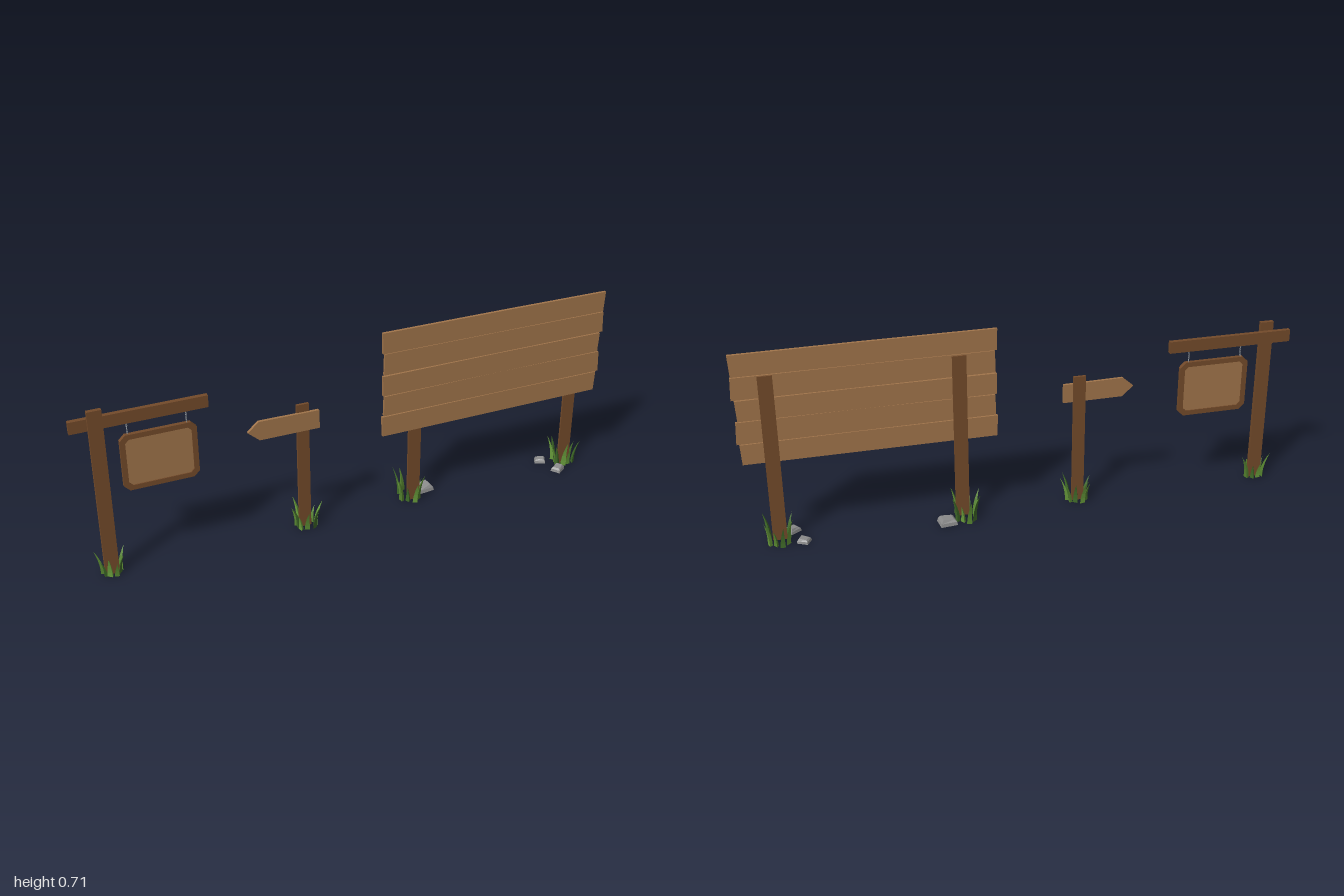
import * as THREE from 'three';

const mat = color => new THREE.MeshStandardMaterial({ color, flatShading: true });
const plankMat = mat(0xa0744a);
const postMat = mat(0x734a2a);
const grassMats = [mat(0x3f6a28), mat(0x55832f), mat(0x679a3a)];
const rockMat = mat(0x8c8c8c);
const metalMat = mat(0x8a8f94);

function add(parent, name, geometry, material) {
  const mesh = new THREE.Mesh(geometry, material);
  mesh.name = name;
  parent.add(mesh);
  return mesh;
}

// Box given by its limits on each axis
function box(parent, name, [x0, x1], [y0, y1], [z0, z1], material) {
  const m = add(parent, name, new THREE.BoxGeometry(x1 - x0, y1 - y0, z1 - z0), material);
  m.position.set((x0 + x1) / 2, (y0 + y1) / 2, (z0 + z1) / 2);
}

// Flat outline pushed from z0 to z1
function slab(parent, name, points, z0, z1, material, hole) {
  const shape = new THREE.Shape(points.map(p => new THREE.Vector2(...p)));
  if (hole) shape.holes.push(new THREE.Path(hole.map(p => new THREE.Vector2(...p))));
  const g = new THREE.ExtrudeGeometry(shape, { depth: z1 - z0, bevelEnabled: false });
  g.translate(0, 0, z0);
  add(parent, name, g, material);
}

// Rectangle with cut corners
const octagon = (x0, x1, y0, y1, c) => [
  [x0 + c, y0], [x1 - c, y0], [x1, y0 + c], [x1, y1 - c],
  [x1 - c, y1], [x0 + c, y1], [x0, y1 - c], [x0, y0 + c]];

// Three-sided blade that tapers and bends outwards along +x
function bladeGeometry(height, width, lean) {
  const g = new THREE.ConeGeometry(1, height, 3, 5);
  g.translate(0, height / 2, 0);
  const p = g.attributes.position;
  for (let i = 0; i < p.count; i++) {
    const t = p.getY(i) / height;
    const r = width * 0.58 * (1 + 0.5 * t);
    p.setX(i, p.getX(i) * r * 0.6 + lean * t * t);
    p.setZ(i, p.getZ(i) * r);
  }
  g.computeVertexNormals();
  return g;
}

// Ring of blades around a post foot
function grassTuft(parent, x, z, rx, rz, height, count, phase) {
  const tuft = new THREE.Group();
  tuft.name = 'grassTuft';
  for (let i = 0; i < count; i++) {
    const a = phase + (i / count) * Math.PI * 2;
    const k = (i * 0.618 + phase) % 1;
    const h = height * (0.55 + 0.45 * k);
    const spread = 0.65 + 0.35 * ((i * 0.37 + phase) % 1);
    const blade = add(tuft, 'grassBlade',
      bladeGeometry(h, 0.018 + 0.006 * k, 0.012 + 0.016 * k), grassMats[i % 3]);
    blade.position.set(Math.cos(a) * rx * spread, 0, Math.sin(a) * rz * spread);
    blade.rotation.y = -a + (k - 0.5) * 0.5;
  }
  tuft.position.set(x, 0, z);
  parent.add(tuft);
}

// Squat block with a smaller, sloping top
function rock(parent, x, z, w, d, h, turn) {
  const g = new THREE.BoxGeometry(w, h, d, 1, 2, 1);
  g.translate(0, h / 2, 0);
  const p = g.attributes.position;
  for (let i = 0; i < p.count; i++) {
    const t = p.getY(i) / h;
    const s = 1 - 0.35 * t * t;
    if (t > 0.9) p.setY(i, h * (p.getX(i) > 0 ? 1 : 0.8));
    p.setX(i, p.getX(i) * s);
    p.setZ(i, p.getZ(i) * s);
  }
  g.computeVertexNormals();
  const m = add(parent, 'rock', g, rockMat);
  m.position.set(x, 0, z);
  m.rotation.y = turn;
}

function hangingSign() {
  const g = new THREE.Group();
  g.name = 'hangingSign';
  box(g, 'post', [-0.94, -0.891], [0, 0.632], [0.01, 0.026], postMat);
  box(g, 'crossBeam', [-1, -0.535], [0.556, 0.6], [-0.007, 0.01], postMat);
  slab(g, 'frame', octagon(-0.842, -0.58, 0.303, 0.513, 0.02), -0.005, 0.01, postMat,
    octagon(-0.824, -0.598, 0.321, 0.495, 0.013));
  slab(g, 'signPanel', octagon(-0.825, -0.597, 0.32, 0.496, 0.013), -0.001, 0.006, plankMat);
  // Chains of alternating links
  for (const x of [-0.812, -0.612]) {
    for (let i = 0; i < 5; i++) {
      const link = add(g, 'chainLink', new THREE.TorusGeometry(0.0042, 0.0009, 5, 10), metalMat);
      link.scale.y = 1.4;
      link.position.set(x, 0.516 + i * 0.0095, 0.002);
      link.rotation.y = i % 2 ? Math.PI / 4 : Math.PI / 2;
    }
  }
  grassTuft(g, -0.915, 0.018, 0.034, 0.03, 0.1, 8, 0.4);
  return g;
}

function arrowSign() {
  const g = new THREE.Group();
  g.name = 'arrowSign';
  box(g, 'post', [-0.228, -0.183], [0, 0.498], [0.01, 0.02], postMat);
  slab(g, 'arrowBoard', [[-0.41, 0.436], [-0.368, 0.399], [-0.147, 0.398],
    [-0.148, 0.468], [-0.37, 0.471]], 0.018, 0.029, plankMat);
  grassTuft(g, -0.205, 0.016, 0.042, 0.036, 0.1, 9, 0.9);
  return g;
}

function billboard() {
  const g = new THREE.Group();
  g.name = 'billboard';
  for (const x of [0.229, 0.884]) {
    box(g, 'post', [x - 0.025, x + 0.025], [0, 0.625], [0.01, 0.018], postMat);
  }
  // Planks: left x, right x, then bottom and top heights at each end
  const planks = [
    [0.096, 0.988, 0.304, 0.306, 0.382, 0.381],
    [0.1, 0.993, 0.386, 0.384, 0.463, 0.465],
    [0.097, 0.99, 0.466, 0.468, 0.543, 0.543],
    [0.1, 0.996, 0.548, 0.547, 0.629, 0.627],
    [0.095, 0.998, 0.631, 0.63, 0.71, 0.708]];
  planks.forEach(([x0, x1, b0, b1, t0, t1], i) => {
    const nick = i % 2 ? 0.004 : -0.004;
    slab(g, 'plank', [[x0, b0], [x1 + nick, b1], [x1, t1], [0.58, t1 + 0.002], [x0 + nick / 2, t0]],
      0.015, 0.026, plankMat);
  });
  grassTuft(g, 0.222, -0.008, 0.045, 0.05, 0.115, 10, 0.2);
  grassTuft(g, 0.888, 0.002, 0.045, 0.048, 0.115, 10, 0.7);
  rock(g, 0.295, -0.03, 0.062, 0.055, 0.025, 0.1);
  rock(g, 0.805, -0.025, 0.042, 0.036, 0.018, -0.5);
  rock(g, 0.835, 0.058, 0.045, 0.038, 0.02, 0.6);
  return g;
}

export function createModel() {
  const model = new THREE.Group();
  model.name = 'woodenSigns';
  model.add(hangingSign(), arrowSign(), billboard());
  return model;
}
